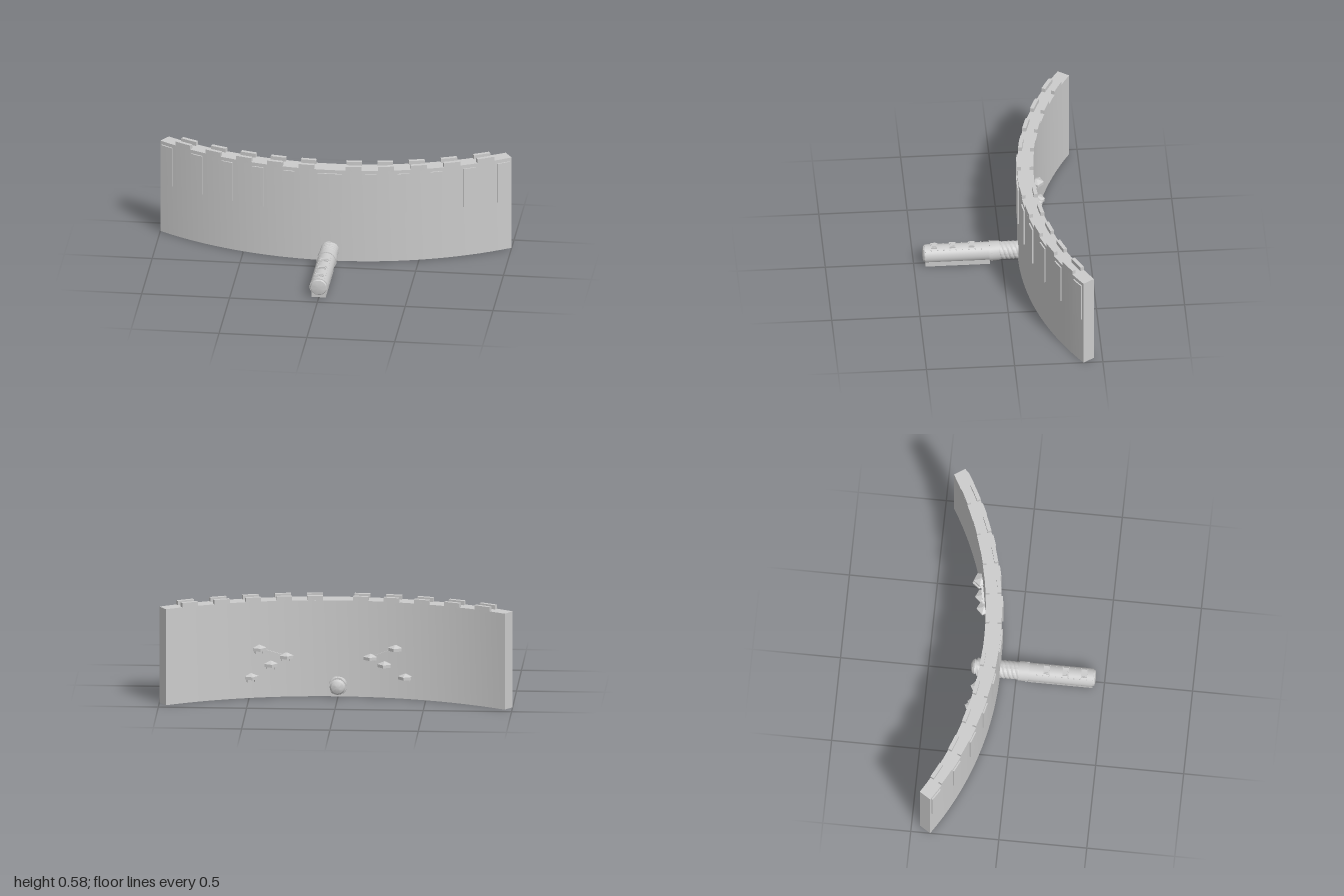
import * as THREE from 'three';
import { toCreasedNormals } from 'three/addons/utils/BufferGeometryUtils.js';

const material = new THREE.MeshStandardMaterial({ color: 0xcccccc });
const R = 1.827, FRONT = -0.092;      // wall arc radius and its foremost z
const BARREL_Y = 0.066;

function add(parent, name, geometry, x = 0, y = 0, z = 0) {
  const mesh = new THREE.Mesh(geometry, material);
  mesh.name = name;
  mesh.position.set(x, y, z);
  parent.add(mesh);
  return mesh;
}

// Point [x, z] on the wall's plan arc, moved outward by d
function onArc(x, d) {
  const a = Math.asin(x / R);
  return [(R + d) * Math.sin(a), FRONT - R + (R + d) * Math.cos(a)];
}
const thickness = (x) => 0.092 - 0.017 * x * x;

// Upright slab that follows the arc between two depth rules
function arcSlab(x0, x1, outer, inner, y0, y1, steps) {
  const front = [], back = [];
  for (let i = 0; i <= steps; i++) {
    const x = x0 + (x1 - x0) * i / steps;
    const f = onArc(x, outer(x)), b = onArc(x, inner(x));
    front.push(new THREE.Vector2(f[0], -f[1]));
    back.unshift(new THREE.Vector2(b[0], -b[1]));
  }
  const geo = new THREE.ExtrudeGeometry(new THREE.Shape([...front, ...back]), { depth: y1 - y0, bevelEnabled: false });
  geo.rotateX(-Math.PI / 2).translate(0, y0, 0);
  return toCreasedNormals(geo, 0.4);
}

// Lathe profile of [radius, z] pairs, turned about the barrel axis
function turned(profile, sides = 32) {
  const geo = new THREE.LatheGeometry(profile.map(([r, z]) => new THREE.Vector2(r, z)), sides);
  return toCreasedNormals(geo.rotateX(Math.PI / 2), 0.5);
}

function buildWall() {
  const wall = new THREE.Group();
  wall.name = 'wall';
  add(wall, 'wallBody', arcSlab(-1, 1, () => 0, (x) => -thickness(x), 0, 0.558, 36));

  // Paired battlements along the front and back edges
  for (const side of [-1, 1]) {
    for (let i = 0; i < 5; i++) {
      const a = side * (0.09 + 0.182 * i), b = side * (0.18 + 0.182 * i);
      const x0 = Math.min(a, b), x1 = Math.max(a, b);
      add(wall, 'frontMerlon', arcSlab(x0, x1, () => 0, () => -0.022, 0.55, 0.582, 2));
      add(wall, 'backMerlon', arcSlab(x0, x1, (x) => 0.022 - thickness(x), (x) => -thickness(x), 0.55, 0.582, 2));

      // Raised narrow panels
      const c = side * (0.2 + 0.181 * i), d = side * (0.265 + 0.181 * i);
      add(wall, 'frontPanel', arcSlab(Math.min(c, d), Math.max(c, d), () => 0.008, () => -0.01, 0.3, 0.537, 2));
    }
  }
  add(wall, 'centrePanel', arcSlab(-0.07, 0.07, () => 0.008, () => -0.01, 0.3, 0.537, 4));
  return wall;
}

// Four-start thread: a cylinder whose radius ripples along a helix
function threadGeometry(z0, z1) {
  const geo = new THREE.CylinderGeometry(0.05, 0.05, z1 - z0, 64, 48);
  geo.rotateX(Math.PI / 2).translate(0, 0, (z0 + z1) / 2);
  const p = geo.attributes.position;
  for (let i = 0; i < p.count; i++) {
    const x = p.getX(i), y = p.getY(i), z = p.getZ(i);
    if (Math.hypot(x, y) < 0.01) continue;
    const k = 0.96 + 0.08 * Math.abs(Math.cos(2 * (Math.atan2(y, x) - 2 * Math.PI * z / 0.1)));
    p.setXY(i, x * k, y * k);
  }
  return toCreasedNormals(geo, 0.5);
}

function buildBarrel() {
  const barrel = new THREE.Group();
  barrel.name = 'barrel';
  barrel.position.y = BARREL_Y;
  add(barrel, 'barrelBody', turned([[0, 0.02], [0.052, 0.02], [0.052, 0.436], [0, 0.436]]));
  add(barrel, 'endCap', turned([[0.048, 0.43], [0.048, 0.438], [0.043, 0.446], [0.025, 0.45], [0, 0.451]]));
  add(barrel, 'collar', turned([[0, 0.015], [0.056, 0.015], [0.056, 0.072], [0, 0.072]]));
  add(barrel, 'footRail', new THREE.BoxGeometry(0.08, 0.03, 0.365), 0, 0.018 - BARREL_Y, 0.253);

  // Ribs around the collar
  for (let i = 0; i < 12; i++) {
    const a = (i + 0.5) / 12 * Math.PI * 2;
    const rib = add(barrel, 'collarRib', new THREE.BoxGeometry(0.004, 0.007, 0.018),
      0.055 * Math.cos(a), 0.055 * Math.sin(a), 0.063);
    rib.rotation.z = a;
  }
  // Raised clips with small rivets
  for (const z of [0.385, 0.28, 0.172]) {
    add(barrel, 'clipPad', new THREE.BoxGeometry(0.046, 0.012, 0.034), 0, 0.049, z);
    add(barrel, 'clipTop', new THREE.BoxGeometry(0.036, 0.006, 0.022), 0, 0.057, z);
    for (const side of [-1, 1]) {
      for (const dz of [-0.02, 0.016, -0.055]) {
        add(barrel, 'rivet', new THREE.SphereGeometry(0.004, 8, 6), side * 0.032, 0.041, z + dz);
      }
    }
  }
  // Threaded shaft through the wall, ending in a knob
  add(barrel, 'threadedShaft', threadGeometry(-0.225, 0.02));
  add(barrel, 'shaftTip', turned([[0, -0.26], [0.018, -0.258], [0.036, -0.25], [0.045, -0.238], [0.04, -0.228], [0.038, -0.22]], 16));
  return barrel;
}

// Small roofed ledge on the back of the wall
function buildLedge(x, y) {
  const ledge = new THREE.Group();
  ledge.name = 'backLedge';
  const [px, pz] = onArc(x, -thickness(x) - 0.008);
  ledge.position.set(px, y, pz);
  ledge.rotation.y = Math.asin(x / R) + Math.PI;
  add(ledge, 'ledgeBody', toCreasedNormals(new THREE.CylinderGeometry(0.04, 0.04, 0.018, 5), 0.3));
  add(ledge, 'ledgeRoof', toCreasedNormals(new THREE.CylinderGeometry(0.006, 0.042, 0.014, 5), 0.3), 0, 0.016, 0);
  for (const side of [-1, 1]) {
    add(ledge, 'ledgeStrut', new THREE.BoxGeometry(0.007, 0.018, 0.02), side * 0.022, -0.016, 0.006);
  }
  return ledge;
}

export function createModel() {
  const model = new THREE.Group();
  model.name = 'curvedWallWithBarrel';
  model.add(buildWall(), buildBarrel());

  // Two clusters of ledges, each with one connecting beam
  const clusters = [
    [[0.467, 0.285], [0.308, 0.235], [0.4, 0.19], [0.515, 0.122]],
    [[-0.195, 0.23], [-0.345, 0.288], [-0.28, 0.19], [-0.405, 0.125]],
  ];
  for (const spots of clusters) {
    for (const [x, y] of spots) model.add(buildLedge(x, y));
    const ends = spots.slice(0, 2).map(([x, y]) => {
      const [px, pz] = onArc(x, -thickness(x) - 0.006);
      return new THREE.Vector3(px, y, pz);
    });
    const beam = add(model, 'ledgeBeam', new THREE.BoxGeometry(0.012, 0.012, ends[0].distanceTo(ends[1])));
    beam.position.copy(ends[0]).lerp(ends[1], 0.5);
    beam.lookAt(ends[1]);
  }
  return model;
}
